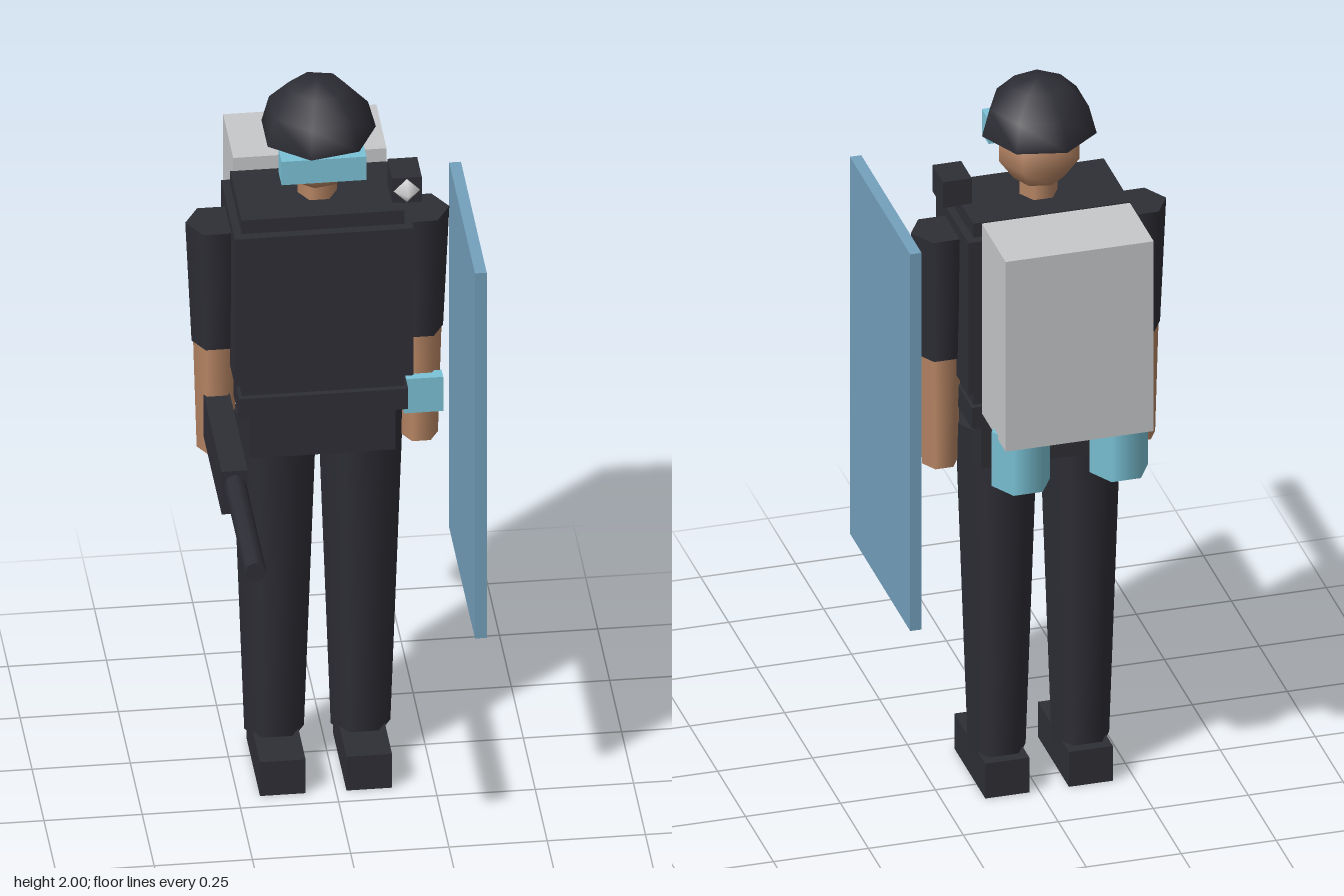
import * as THREE from 'three';

export function createModel() {
  const model = new THREE.Group();
  model.name = 'armouredGuard';

  const material = (name, color) => {
    const m = new THREE.MeshStandardMaterial({ color });
    m.name = name;
    return m;
  };
  const black = material('blackFabric', 0x2e2e36);
  const skin = material('skin', 0xb98765);
  const cyan = material('cyan', 0x7bc3d7);
  const grey = material('packGrey', 0xc6c8ca);
  const blue = material('shieldBlue', 0x74a0bc);
  const white = material('lampWhite', 0xe2e2e4);

  const add = (name, geometry, mat, x = 0, y = 0, z = 0) => {
    const mesh = new THREE.Mesh(geometry, mat);
    mesh.name = name;
    mesh.position.set(x, y, z);
    model.add(mesh);
    return mesh;
  };
  // Box given by its limits on each axis
  const box = (name, mat, [x0, x1], [y0, y1], [z0, z1]) =>
    add(name, new THREE.BoxGeometry(x1 - x0, y1 - y0, z1 - z0), mat,
      (x0 + x1) / 2, (y0 + y1) / 2, (z0 + z1) / 2);
  // Upright six-sided limb with corners on the x axis
  const limb = (name, mat, x, z, y0, y1, r0, r1) =>
    add(name, new THREE.CylinderGeometry(r1, r0, y1 - y0, 6).rotateY(Math.PI / 6), mat,
      x, (y0 + y1) / 2, z);

  const cx = -0.026, cz = -0.235; // body axis

  // Torso, vest and belt
  box('torso', black, [-0.233, 0.181], [1.08, 1.67], [-0.355, -0.115]);
  box('vest', black, [-0.253, 0.201], [1.195, 1.63], [-0.38, -0.09]);
  box('belt', black, [-0.241, 0.189], [1.09, 1.15], [-0.37, -0.1]);
  box('pelvis', black, [-0.211, 0.159], [0.96, 1.09], [-0.35, -0.12]);

  // Head, goggles and helmet
  limb('neck', skin, cx, cz, 1.64, 1.74, 0.05, 0.05);
  add('head', new THREE.SphereGeometry(0.11, 7, 5).rotateY(Math.PI), skin, cx, 1.806, cz);
  box('goggles', cyan, [-0.134, 0.082], [1.78, 1.849], [-0.155, -0.094]);
  add('helmet', new THREE.SphereGeometry(0.149, 7, 3, 0, Math.PI * 2, 0, Math.PI / 2)
    .rotateY(Math.PI), black, cx, 1.85, cz);
  add('helmetUnderside', new THREE.CircleGeometry(0.149, 7).rotateX(Math.PI / 2),
    black, cx, 1.85, cz);

  // Limbs and tanks, one of each per side
  for (const [side, s] of [['left', 1], ['right', -1]]) {
    const arm = cx + s * 0.26, leg = cx + s * 0.11;
    limb(side + 'UpperArm', black, arm, cz, 1.25, 1.6, 0.06, 0.076);
    limb(side + 'Forearm', skin, arm, cz, 0.935, 1.25, 0.047, 0.056);
    limb(side + 'Leg', black, leg, cz, 0.09, 1.04, 0.076, 0.109);
    box(side + 'Boot', black, [leg - 0.058, leg + 0.058], [0, 0.1], [-0.33, -0.052]);
    limb(side + 'Tank', cyan, cx + s * 0.129, -0.515, 1.0, 1.155, 0.077, 0.077);
  }

  // Backpack
  box('backpack', grey, [-0.221, 0.169], [1.142, 1.687], [-0.603, -0.39]);

  // Shoulder lamp
  box('lampHousing', black, [0.154, 0.23], [1.668, 1.742], [-0.25, -0.154]);
  add('lamp', new THREE.SphereGeometry(0.034, 4, 2), white, 0.192, 1.705, -0.152);

  // Wrist screen
  box('wristScreen', cyan, [0.186, 0.286], [1.037, 1.138], [-0.2, -0.165]);

  // Long launcher held in the right hand
  box('launcherBody', black, [-0.319, -0.253], [0.982, 1.108], [-0.267, 0.175]);
  add('launcherBarrel', new THREE.CylinderGeometry(0.028, 0.028, 0.43, 8)
    .rotateX(Math.PI / 2), black, -0.285, 1.069, 0.388);

  // Flat shield beside the left arm
  box('shield', blue, [0.329, 0.359], [0.548, 1.63], [-0.395, 0.145]);

  return model;
}
